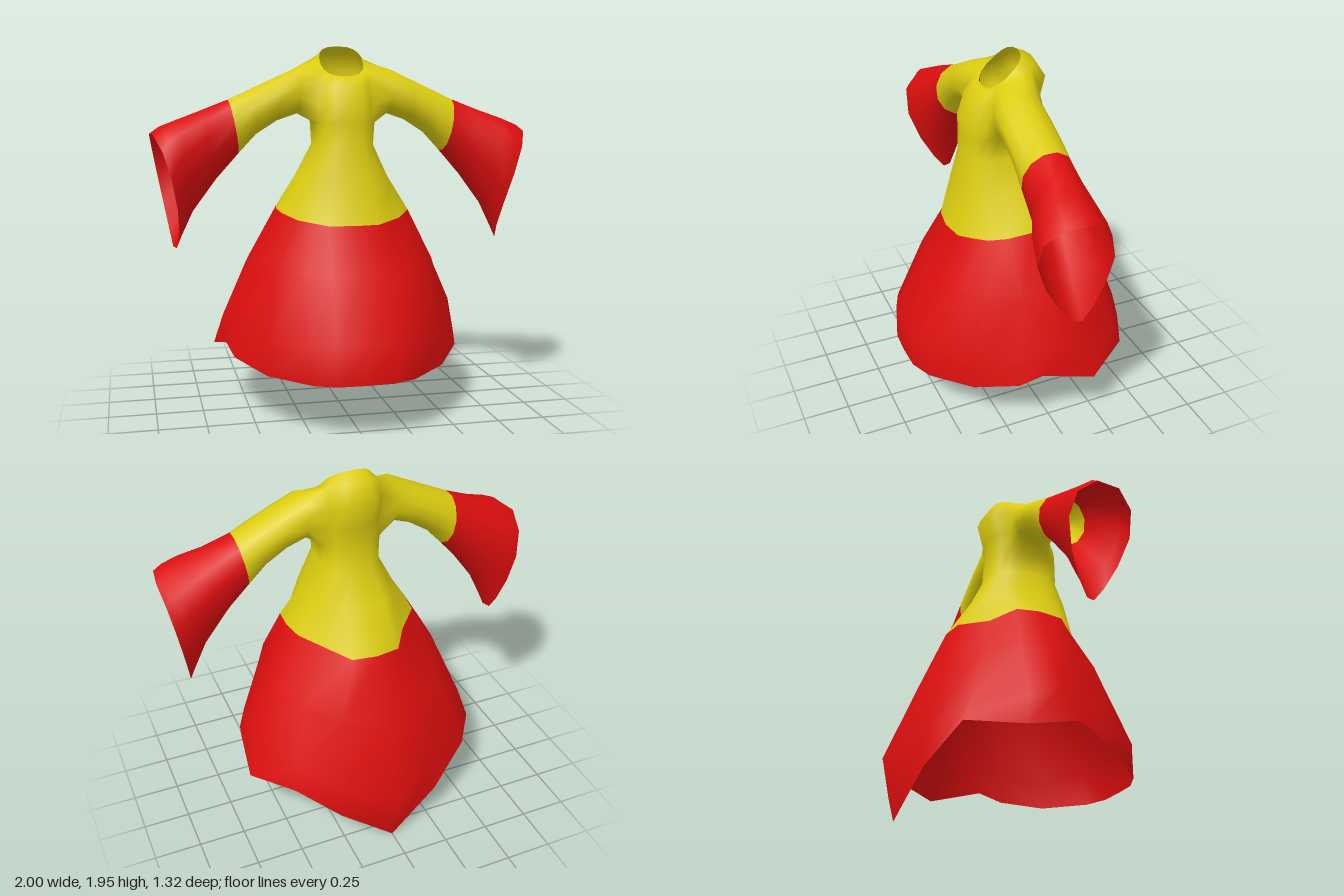
import * as THREE from 'three';

const yellow = new THREE.MeshStandardMaterial({ color: 0xdccc10, side: THREE.DoubleSide });
const red = new THREE.MeshStandardMaterial({ color: 0xdc0e0e, side: THREE.DoubleSide });

// Mirror a half ring (front to back along +x) into a closed ring of 18 points
const mirrorRing = half => [...half, ...half.slice(1, -1).reverse().map(([x, y, z]) => [-x, y, z])];

// Tilted, slightly squared oval ring for the bodice
function oval(halfWidth, yFront, zFront, yBack, zBack) {
  const half = [], square = v => Math.sign(v) * Math.abs(v) ** 0.78;
  for (let i = 0; i <= 9; i++) {
    const a = i * Math.PI / 9, t = (1 - square(Math.cos(a))) / 2;
    half.push([i % 9 ? halfWidth * square(Math.sin(a)) : 0, yFront + (yBack - yFront) * t, zFront + (zBack - zFront) * t]);
  }
  return mirrorRing(half);
}

// Sleeve ring between a top and a bottom point; taper makes it a teardrop, inset draws in the front rim
function sleeveRing(s, [xt, yt, xb, yb, zc, hz, taper = 0, inset = 0]) {
  const ring = [], step = Math.PI / 6;
  for (let k = 0; k < 12; k++) {
    const a = (k + 0.5) * step;
    const t = (1 - Math.cos(a) / Math.cos(step / 2)) / 2, side = -Math.sin(a);
    ring.push([
      s * (xt + (xb - xt) * t - inset * Math.max(0, side)),
      yt + (yb - yt) * t,
      zc - taper * 0.13 * t + hz * side * (1 + taper * Math.cos(a)),
    ]);
  }
  return ring;
}

// Bodice from neckline to above the hip
const bodice = [
  oval(0.115, 1.79, 0.16, 1.95, -0.03),
  oval(0.15, 1.785, 0.195, 1.915, -0.10),
  oval(0.165, 1.74, 0.24, 1.82, -0.16),
  oval(0.165, 1.63, 0.28, 1.68, -0.125),
  oval(0.165, 1.55, 0.28, 1.57, -0.12),
  oval(0.156, 1.44, 0.285, 1.44, -0.13),
  oval(0.24, 1.27, 0.32, 1.27, -0.21),
];

// Skirt from the hip seam to the hem, which drops to a point at the back
const skirt = [
  [[0, 1.04, 0.38], [0.13, 1.04, 0.36], [0.2, 1.05, 0.31], [0.27, 1.06, 0.25], [0.34, 1.09, 0.17],
    [0.35, 1.1, 0.04], [0.33, 1.1, -0.08], [0.22, 1.06, -0.19], [0.13, 1.05, -0.33], [0, 1.05, -0.35]],
  [[0, 0.8, 0.49], [0.14, 0.8, 0.48], [0.27, 0.8, 0.43], [0.4, 0.81, 0.32], [0.48, 0.82, 0.16],
    [0.51, 0.82, 0.02], [0.48, 0.82, -0.12], [0.38, 0.8, -0.29], [0.24, 0.74, -0.43], [0, 0.7, -0.5]],
  [[0, 0.48, 0.65], [0.15, 0.48, 0.64], [0.28, 0.47, 0.59], [0.45, 0.45, 0.42], [0.57, 0.48, 0.21],
    [0.625, 0.56, 0.02], [0.62, 0.5, -0.14], [0.48, 0.48, -0.39], [0.29, 0.38, -0.53], [0, 0.31, -0.66]],
  [[0, 0.29, 0.655], [0.14, 0.29, 0.65], [0.26, 0.29, 0.6], [0.46, 0.3, 0.42], [0.6, 0.35, 0.22],
    [0.63, 0.4, 0.1], [0.67, 0.33, -0.18], [0.5, 0.37, -0.43], [0.28, 0.2, -0.54], [0, 0, -0.59]],
].map(mirrorRing);

// Sleeve from the shoulder to the flared cuff; the cuff starts at the fourth ring
const sleeve = [
  [0.25, 1.83, 0.24, 1.602, 0.07, 0.13],
  [0.37, 1.775, 0.35, 1.565, 0.07, 0.13],
  [0.49, 1.72, 0.46, 1.495, 0.07, 0.132],
  [0.60, 1.67, 0.55, 1.40, 0.07, 0.135],
  [0.74, 1.615, 0.67, 1.265, 0.08, 0.14, 0.1],
  [0.86, 1.57, 0.79, 1.105, 0.105, 0.17, 0.25],
  [0.95, 1.535, 0.855, 0.98, 0.11, 0.172, 0.38, 0.03],
  [1.0, 1.5, 0.89, 0.91, 0.115, 0.165, 0.5, 0.06],
];

// Armhole edge in the bodice as [ring, column], clockwise from the top
const armhole = [[1, 5], [1, 6], [2, 6], [3, 6], [4, 6], [4, 5], [4, 4], [4, 3], [3, 3], [2, 3], [1, 3], [1, 4]];

export function createModel() {
  const positions = [];
  const parts = { bodice: [], skirt: [], leftSleeve: [], leftCuff: [], rightSleeve: [], rightCuff: [] };

  // Store a ring and return its vertex numbers
  const addRing = ring => ring.map(p => positions.push(...p) / 3 - 1);

  // Join two rings of vertex numbers with quads, leaving out the skipped columns
  function skin(part, upper, lower, flip = false, skip = () => false) {
    upper.forEach((a, i) => {
      if (skip(i)) return;
      const j = (i + 1) % upper.length, b = upper[j], c = lower[i], d = lower[j];
      parts[part].push(...(flip ? [a, b, c, b, d, c] : [a, c, b, b, c, d]));
    });
  }

  // Body with an open armhole on each side
  const body = [...bodice, ...skirt].map(addRing);
  for (let r = 0; r < body.length - 1; r++) {
    const open = i => r >= 1 && r <= 3 && ((i >= 3 && i <= 5) || (i >= 12 && i <= 14));
    skin(r < bodice.length ? 'bodice' : 'skirt', body[r], body[r + 1], false, open);
  }

  // Sleeves grow out of the armholes
  for (const [s, side] of [[1, 'left'], [-1, 'right']]) {
    let previous = armhole.map(([r, i]) => body[r][s > 0 ? i : 18 - i]);
    sleeve.forEach((spec, k) => {
      const next = addRing(sleeveRing(s, spec));
      skin(side + (k < 4 ? 'Sleeve' : 'Cuff'), previous, next, s < 0);
      previous = next;
    });
  }

  // Smooth normals over the whole cloth, then one mesh per part
  const cloth = new THREE.BufferGeometry();
  cloth.setAttribute('position', new THREE.Float32BufferAttribute(positions, 3));
  cloth.setIndex(Object.values(parts).flat());
  cloth.computeVertexNormals();

  const dress = new THREE.Group();
  dress.name = 'dress';
  for (const [name, index] of Object.entries(parts)) {
    const geometry = cloth.clone();
    geometry.setIndex(index);
    const mesh = new THREE.Mesh(geometry, /skirt|Cuff/.test(name) ? red : yellow);
    mesh.name = name;
    dress.add(mesh);
  }
  return dress;
}
